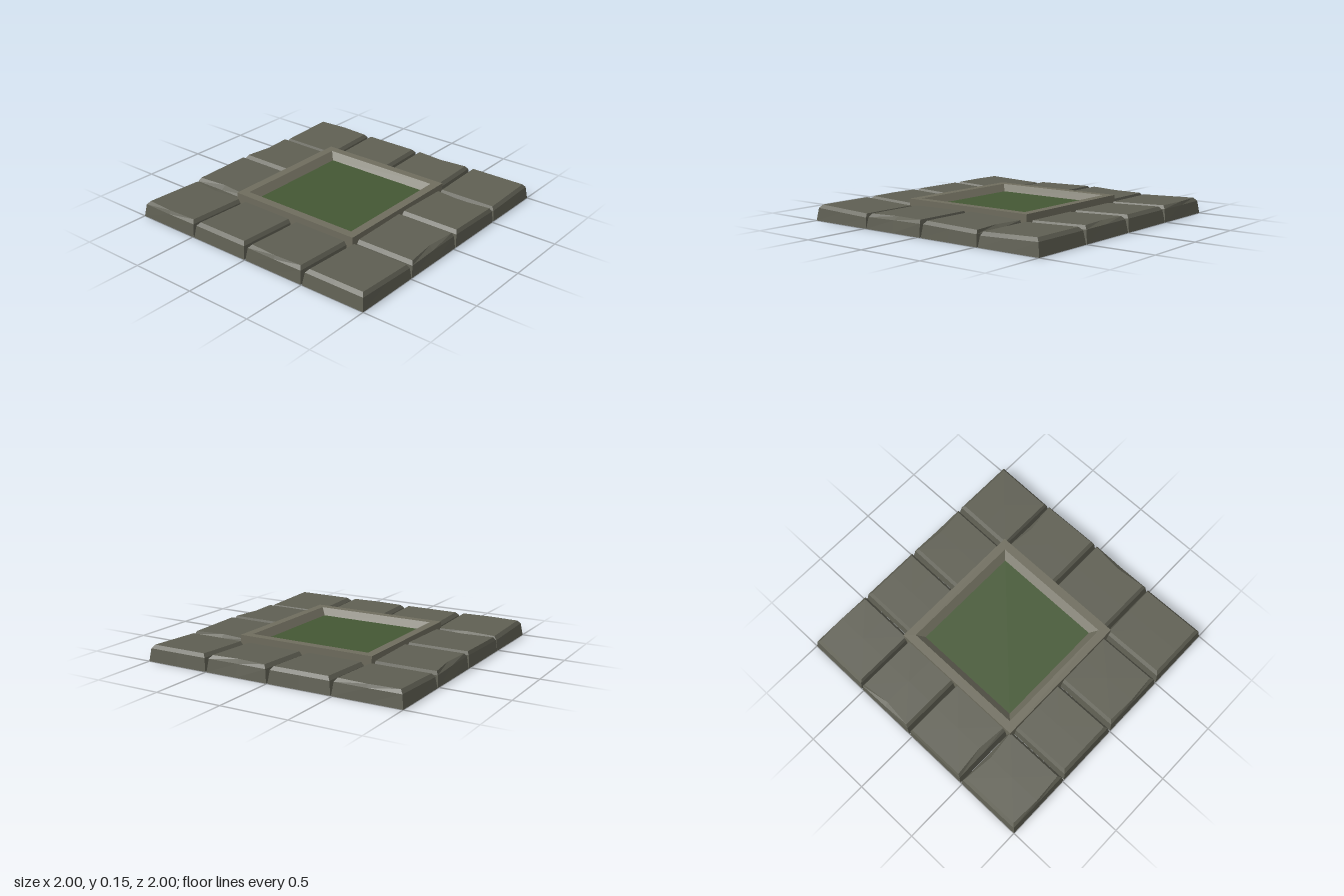
import * as THREE from 'three';

const stone = new THREE.MeshStandardMaterial({ color: 0x5f5f53, flatShading: true, side: THREE.DoubleSide });
const trim = new THREE.MeshStandardMaterial({ color: 0x6f6d5e, flatShading: true, side: THREE.DoubleSide });
const grass = new THREE.MeshStandardMaterial({ color: 0x445834, flatShading: true });

// Skin a stack of rings (each clockwise from above), optionally closed by a fan on top.
function loft(rings, cap) {
  const n = rings[0].length;
  const pos = [];
  const tri = (...pts) => pts.forEach((p) => pos.push(...p));
  for (let r = 0; r < rings.length - 1; r++) {
    for (let i = 0; i < n; i++) {
      const j = (i + 1) % n;
      tri(rings[r][i], rings[r + 1][i], rings[r][j]);
      tri(rings[r][j], rings[r + 1][i], rings[r + 1][j]);
    }
  }
  if (cap) {
    const top = rings[rings.length - 1];
    const centre = [0, 1, 2].map((k) => top.reduce((s, p) => s + p[k], 0) / n);
    for (let i = 0; i < n; i++) tri(centre, top[(i + 1) % n], top[i]);
  }
  const geometry = new THREE.BufferGeometry();
  geometry.setAttribute('position', new THREE.Float32BufferAttribute(pos, 3));
  geometry.computeVertexNormals();
  return geometry;
}

// Rectangle ring: corners plus side midpoints; inset and dent are [back, right, front, left].
function tileRing([x0, x1, z0, z1], inset, dent, height) {
  const [b, r, f, l] = inset;
  const xa = x0 + l, xb = x1 - r, za = z0 + b, zb = z1 - f;
  const xm = (xa + xb) / 2, zm = (za + zb) / 2;
  return [
    [xa, za], [xm, za + dent[0]], [xb, za], [xb - dent[1], zm],
    [xb, zb], [xm, zb - dent[2]], [xa, zb], [xa + dent[3], zm],
  ].map(([x, z]) => [x, height(z), z]);
}

// Worn paving stone, open underneath, with a bevelled and gently tilted top.
function pavingStone(bounds, inset, dent, backY, frontY) {
  const [, , z0, z1] = bounds;
  const topY = (z) => THREE.MathUtils.lerp(backY, frontY, (z - z0) / (z1 - z0));
  return new THREE.Mesh(loft([
    tileRing(bounds, [0, 0, 0, 0], [0, 0, 0, 0], () => 0),
    tileRing(bounds, inset.map((v) => v * 0.4), dent.map((v) => v * 0.2), (z) => topY(z) - 0.025),
    tileRing(bounds, inset, dent, topY),
  ], true), stone);
}

export function createModel() {
  const model = new THREE.Group();

  // Ring of twelve paving stones
  const columns = [[-1, -0.49], [-0.485, -0.005], [0.005, 0.495], [0.505, 1]];
  const rows = [
    { z: [-1, -0.52], y: [0.118, 0.1], inset: [0.035, 0.03, 0.022, 0.035] },
    { z: [-0.51, -0.03], y: [0.106, 0.117], inset: [0.015, 0.025, 0.035, 0.02] },
    { z: [-0.02, 0.485], y: [0.116, 0.107], inset: [0.015, 0.025, 0.035, 0.02] },
    { z: [0.49, 1], y: [0.1, 0.118], inset: [0.018, 0.03, 0.038, 0.035] },
  ];
  // Chipped (positive) or bulging (negative) edges by row and column
  const dents = {
    '0,0': [-0.014, 0, 0, 0], '0,2': [0.018, 0, 0, 0],
    '1,0': [0, -0.008, 0, 0.022], '1,3': [0.026, 0, 0, 0],
    '2,0': [0, 0.01, 0.022, 0], '2,3': [0, 0.022, 0, 0.012],
    '3,0': [0.024, 0, -0.012, 0], '3,2': [0, 0, -0.012, 0],
  };
  const paving = new THREE.Group();
  paving.name = 'paving';
  rows.forEach((row, r) => columns.forEach((col, c) => {
    if (r % 3 !== 0 && c % 3 !== 0) return;
    const tile = pavingStone([...col, ...row.z], row.inset, dents[`${r},${c}`] ?? [0, 0, 0, 0], ...row.y);
    tile.name = `pavingStone${r}${c}`;
    paving.add(tile);
  }));
  model.add(paving);

  // Square planter in the middle
  const planter = new THREE.Group();
  planter.name = 'planter';
  planter.position.set(0.003, 0, -0.013);
  const square = (h, y) => [[-h, y, -h], [h, y, -h], [h, y, h], [-h, y, h]];
  const frame = new THREE.Mesh(
    loft([square(0.533, 0), square(0.533, 0.15), square(0.47, 0.15), square(0.422, 0.1)], false), trim);
  frame.name = 'planterFrame';
  const base = new THREE.Mesh(new THREE.PlaneGeometry(1.066, 1.066).rotateX(Math.PI / 2), trim);
  base.name = 'planterBase';
  const lawn = new THREE.Mesh(new THREE.PlaneGeometry(0.844, 0.844).rotateX(-Math.PI / 2), grass);
  lawn.position.y = 0.1;
  lawn.name = 'lawn';
  planter.add(frame, base, lawn);
  model.add(planter);

  return model;
}
